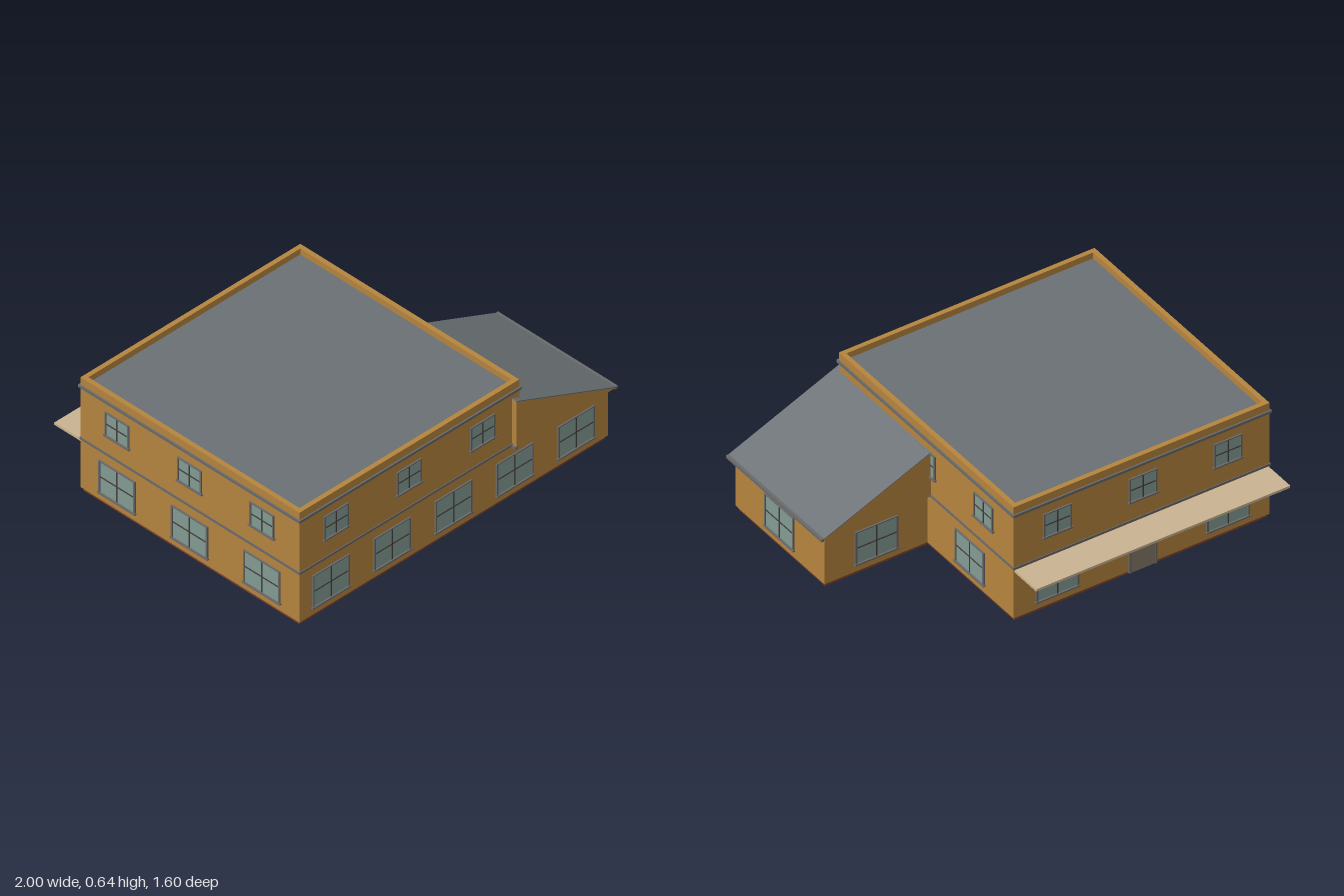
import * as THREE from 'three';

const mat = (name, color, side = THREE.FrontSide) => {
  const m = new THREE.MeshStandardMaterial({ color, side });
  m.name = name;
  return m;
};

export function createModel() {
  const model = new THREE.Group();
  model.name = 'building';
  const wall = mat('ochre wall', 0xb5843e);
  const roof = mat('slate roof', 0x6a7073);
  const trim = mat('grey trim', 0x6b6a6b);
  const glass = mat('window glass', 0x849c95);
  const bar = mat('dark glazing bar', 0x46413d);
  const brick = mat('brick plinth', 0x7d4229);
  const tan = mat('tan canopy', 0xc9b391);
  const doorPaint = mat('door paint', 0x857868);

  // Box given by its minimum and maximum on each axis
  const block = (name, m, x0, x1, y0, y1, z0, z1, parent = model) => {
    const mesh = new THREE.Mesh(new THREE.BoxGeometry(x1 - x0, y1 - y0, z1 - z0), m);
    mesh.position.set((x0 + x1) / 2, (y0 + y1) / 2, (z0 + z1) / 2);
    mesh.name = name;
    parent.add(mesh);
    return mesh;
  };

  // Outer wall lines of the main block and the side wing
  const L = -0.985, R = 0.405, B = -0.627, F = 0.772;
  const WR = 0.965, WB = 0.062;

  // Plinths and walls
  block('mainPlinth', brick, L + 0.01, R - 0.01, 0, 0.02, B + 0.01, F - 0.01);
  block('wingPlinth', brick, R - 0.01, WR - 0.01, 0, 0.02, WB + 0.01, F - 0.01);
  block('mainWalls', wall, L, R, 0.02, 0.605, B, F);
  block('wingWalls', wall, R, WR, 0.02, 0.295, WB, F);

  // Flat roof with a parapet round it
  const t = 0.025;
  block('flatRoof', roof, L + t, R - t, 0.605, 0.612, B + t, F - t);
  block('frontParapet', wall, L, R, 0.605, 0.645, F - t, F);
  block('backParapet', wall, L, R, 0.605, 0.645, B, B + t);
  block('leftParapet', wall, R - t, R, 0.605, 0.645, B + t, F - t);
  block('rightParapet', wall, L, L + t, 0.605, 0.645, B + t, F - t);

  // Projecting string courses
  block('corniceBand', trim, L - 0.008, R + 0.008, 0.59, 0.604, B - 0.008, F + 0.008);
  block('floorBand', trim, L - 0.004, R + 0.004, 0.294, 0.306, B - 0.004, F + 0.004);
  block('wingBand', trim, R, WR + 0.004, 0.294, 0.306, WB - 0.004, F + 0.004);

  // Lean-to roof: ochre gables, slate slope
  const x0 = 0.36, x1 = 0.99, yLow = 0.295, yHigh = 0.558, z0 = 0.035, z1 = 0.8;
  const tri = new THREE.Shape([
    new THREE.Vector2(x0, yLow), new THREE.Vector2(x1, yLow), new THREE.Vector2(x0, yHigh)]);
  const gable = new THREE.Mesh(
    new THREE.ExtrudeGeometry(tri, { depth: z1 - z0, bevelEnabled: false }), wall);
  gable.position.z = z0;
  gable.name = 'leanToGables';
  model.add(gable);
  const slope = new THREE.Mesh(
    new THREE.BoxGeometry(Math.hypot(x1 - x0, yHigh - yLow), 0.005, z1 - z0), roof);
  slope.position.set((x0 + x1) / 2, (yLow + yHigh) / 2 + 0.001, (z0 + z1) / 2);
  slope.rotation.z = -Math.atan2(yHigh - yLow, x1 - x0);
  slope.name = 'leanToSlope';
  model.add(slope);
  block('eaveGutter', trim, 0.985, 1.0, 0.287, 0.301, z0, z1);
  block('innerGutter', trim, 0.353, 0.367, 0.287, 0.301, z0, z1);

  // Canopy over the back door
  block('backCanopy', tan, L + 0.005, R - 0.005, 0.276, 0.289, -0.8, B);

  // Openings are built facing +z, then turned onto their wall
  const turns = { front: 0, back: Math.PI, left: Math.PI / 2, right: -Math.PI / 2 };
  const place = (g, side, along, plane) => {
    g.rotation.y = turns[side];
    if (side === 'front' || side === 'back') g.position.set(along, 0, plane);
    else g.position.set(plane, 0, along);
    model.add(g);
  };

  const addWindow = (side, along, plane, upper) => {
    const w = upper ? 0.068 : 0.107, y0 = upper ? 0.412 : 0.066, y1 = upper ? 0.536 : 0.24;
    const g = new THREE.Group();
    g.name = upper ? 'upperWindow' : 'lowerWindow';
    const ym = (y0 + y1) / 2, c = 0.009, b = 0.003;
    block('pane', glass, -w, w, y0, y1, -0.002, 0.003, g);
    for (const s of [-1, 1]) {
      const e = s * w;
      block('sideCasing', trim, Math.min(e, e + s * c), Math.max(e, e + s * c), y0, y1, -0.002, 0.008, g);
    }
    block('headCasing', trim, -w - c, w + c, y1 - 0.002, y1 + 0.004, -0.002, 0.008, g);
    block('sill', trim, -w - 0.014, w + 0.014, y0 - 0.008, y0, -0.002, 0.012, g);
    block('uprightBar', bar, -b, b, y0, y1, 0, 0.006, g);
    block('crossBar', bar, -w, w, ym - b, ym + b, 0, 0.006, g);
    place(g, side, along, plane);
  };

  // Front windows
  for (const x of [-0.79, -0.403, -0.015, 0.372, 0.76]) addWindow('front', x, F, false);
  for (const x of [-0.757, -0.295, 0.17]) {
    addWindow('front', x, F, true);
    addWindow('back', x, B, true);
  }
  // Back windows either side of the door, and one behind the wing
  for (const x of [-0.757, 0.17]) addWindow('back', x, B, false);
  addWindow('back', 0.685, WB, false);
  // Side windows
  for (const z of [-0.39, 0.073, 0.535]) {
    addWindow('right', z, L, true);
    addWindow('right', z, L, false);
  }
  for (const z of [-0.39, 0.073]) addWindow('left', z, R, true);
  addWindow('left', -0.28, R, false);
  addWindow('left', 0.417, WR, false);

  // Back door
  const door = new THREE.Group();
  door.name = 'backDoor';
  block('doorLeaf', doorPaint, -0.065, 0.065, 0.01, 0.24, -0.012, 0.004, door);
  block('doorHead', trim, -0.075, 0.075, 0.24, 0.25, -0.012, 0.008, door);
  block('doorJamb', trim, -0.075, -0.065, 0.01, 0.24, -0.012, 0.008, door);
  block('doorJamb', trim, 0.065, 0.075, 0.01, 0.24, -0.012, 0.008, door);
  place(door, 'back', -0.295, B);

  return model;
}
